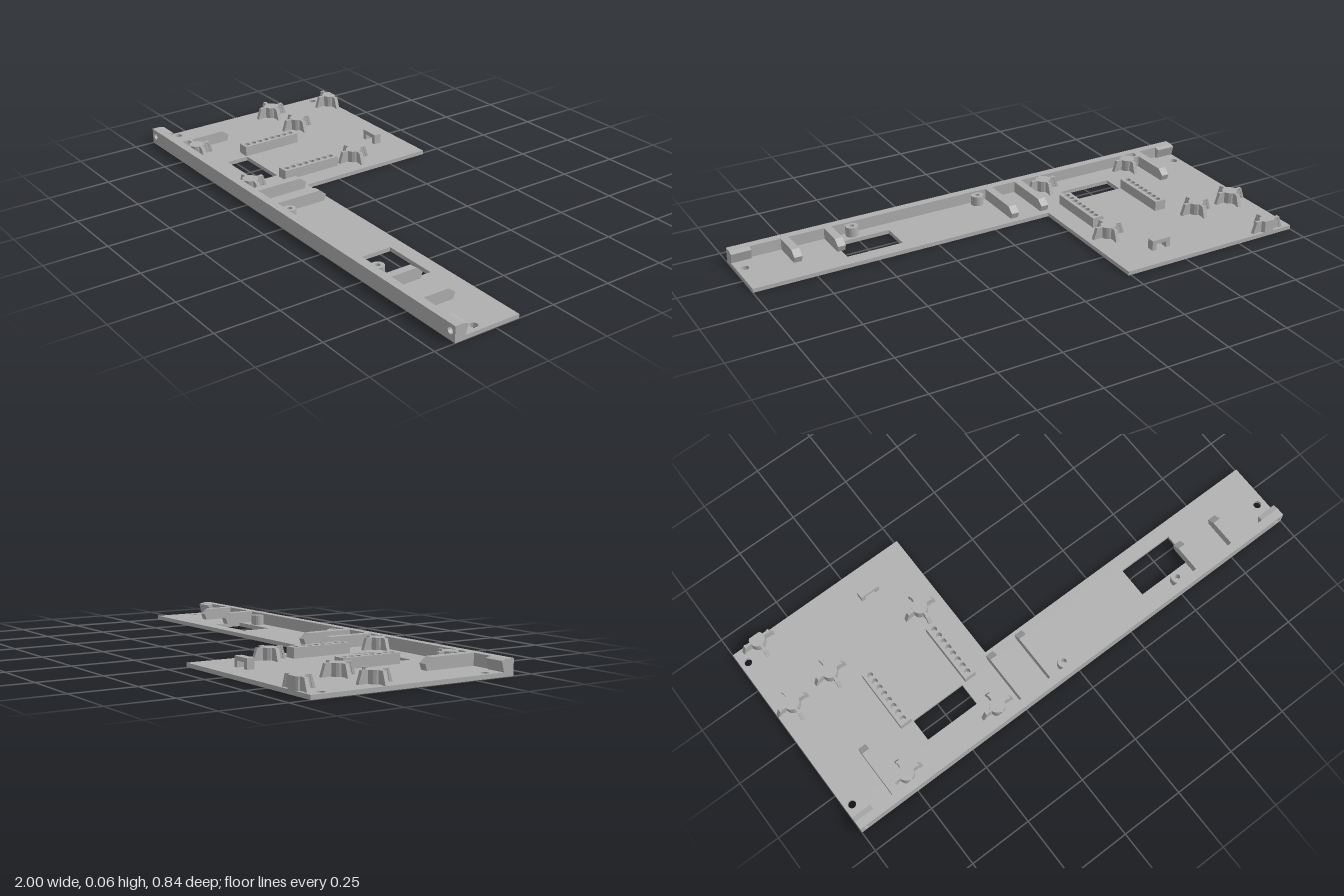
import * as THREE from 'three';

const BASE = 0.016, TOP = 0.062, FRONT = 0.418, WALL = 0.385;

export function createModel() {
  const model = new THREE.Group();
  model.name = 'mountingFrame';
  const grey = new THREE.MeshStandardMaterial({ color: 0xb0b0b0 });
  grey.name = 'grey plastic';

  const add = (name, geometry, parent = model) => {
    const mesh = new THREE.Mesh(geometry, grey);
    mesh.name = name;
    parent.add(mesh);
    return mesh;
  };
  const outline = (pts) => new THREE.Shape(pts.map(([a, b]) => new THREE.Vector2(a, b)));
  const circle = (x, y, r) => new THREE.Path().absarc(x, y, r, 0, Math.PI * 2, true);
  const rect = (x0, x1, z0, z1) => [[x0, -z1], [x1, -z1], [x1, -z0], [x0, -z0]];
  const extrude = (shape, depth) =>
    new THREE.ExtrudeGeometry(shape, { depth, bevelEnabled: false, curveSegments: 12 });

  // Plan shape (x, -z) raised from y0 to y1
  const raise = (shape, y0, y1) => extrude(shape, y1 - y0).rotateX(-Math.PI / 2).translate(0, y0, 0);
  // Side profile of [z, y] points spanning x0 to x1
  const side = (pts, x0, x1) =>
    extrude(outline(pts.map(([z, y]) => [-z, y])), x1 - x0).rotateY(Math.PI / 2).translate(x0, 0, 0);

  // L-shaped base with two windows and three screw holes
  const plate = outline([[-1, -WALL], [1, -WALL], [1, -0.15], [-0.24, -0.15], [-0.24, FRONT], [-1, FRONT]]);
  plate.holes.push(
    outline(rect(-0.61, -0.385, 0.198, 0.29)),
    outline(rect(0.375, 0.605, 0.207, 0.33)),
    ...[[-0.97, -0.36], [-0.97, 0.315], [0.967, 0.315]].map(([x, z]) => circle(x, -z, 0.015)));
  add('basePlate', raise(plate, 0, BASE));

  // Front wall with a screw hole at each end
  const wall = outline([[-1, 0], [1, 0], [1, TOP], [-1, TOP]]);
  for (const x of [-0.975, 0.975]) wall.holes.push(circle(x, 0.036, 0.013));
  add('frontWall', extrude(wall, FRONT - WALL).translate(0, 0, WALL));

  // End blocks behind the wall, with sloped inner faces
  for (const [name, x0, x1] of [['rightEndBlock', -1, -0.92], ['leftEndBlock', 0.92, 1]]) {
    add(name, side([[WALL, BASE], [WALL, TOP], [0.364, 0.056], [0.375, BASE]], x0, x1));
  }

  // Bracing ribs with chamfered, undercut ends
  for (const [x, end] of [[-0.82, 0.169], [-0.235, 0.169], [-0.1, 0.169], [0.605, 0.253], [0.78, 0.253]]) {
    add('rib', side([[WALL, BASE], [WALL, TOP], [end + 0.028, TOP], [end, 0.04], [end + 0.008, BASE]],
      x - 0.016, x + 0.016));
  }

  // Round bosses against the wall
  for (const x of [-0.035, 0.515]) {
    const boss = new THREE.Shape().absarc(x, -0.365, 0.025, 0, Math.PI * 2);
    boss.holes.push(circle(x, -0.365, 0.01));
    add('screwBoss', raise(boss, BASE, 0.055));
  }

  // Socket strips with eight holes each
  for (const x of [-0.64, -0.345]) {
    const strip = outline(rect(x - 0.024, x + 0.024, -0.05, 0.198));
    for (let i = 0; i < 8; i++) strip.holes.push(circle(x, 0.028 - i * 0.0295, 0.0115));
    add('socketStrip', raise(strip, BASE, 0.056));
  }

  // Finned standoffs; the rearmost one is cut flush with the plate edge
  const posts = [[-0.895, -0.4], [-0.93, -0.12], [-0.75, -0.135], [-0.335, -0.135], [-0.75, 0.35], [-0.335, 0.35]];
  for (const [x, z] of posts) {
    const post = new THREE.Group();
    post.name = 'standoff';
    post.position.set(x, 0, z);
    model.add(post);
    const core = [];
    for (let i = 0; i < 16; i++) {
      const a = (i / 16) * Math.PI * 2;
      core.push([0.03 * Math.cos(a), Math.min(0.03 * Math.sin(a), z + FRONT)]);
    }
    add('standoffCore', raise(outline(core), BASE, TOP), post);
    for (let k = 0; k < 4; k++) {
      if (k === 2 && z < -0.35) continue;
      const angle = k * Math.PI / 2;
      add('standoffFin', side([[0.02, BASE], [0.062, BASE], [0.05, TOP], [0.02, TOP]], -0.005, 0.005), post)
        .rotation.y = angle;
      add('standoffFinTip', side([[0.057, BASE], [0.069, BASE], [0.054, TOP], [0.046, TOP]], -0.0075, 0.0075), post)
        .rotation.y = angle;
    }
  }

  // Small cable bridge
  const bridge = outline([[-0.49, BASE], [-0.472, BASE], [-0.472, 0.04], [-0.428, 0.04],
    [-0.428, BASE], [-0.41, BASE], [-0.41, 0.056], [-0.49, 0.056]]);
  add('cableBridge', extrude(bridge, 0.03).translate(0, 0, -0.326));

  return model;
}
